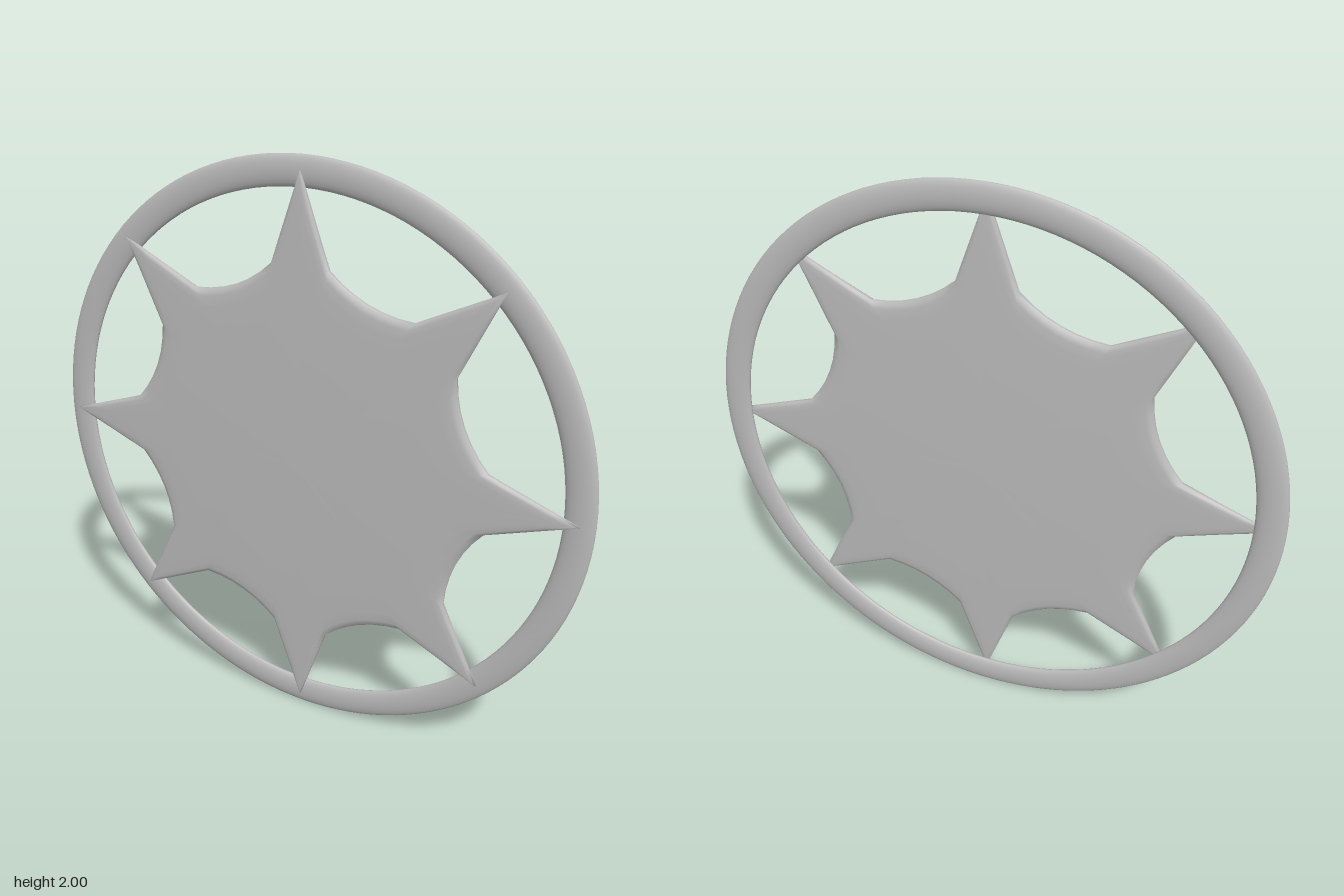
import * as THREE from 'three';

const ARMS = 8, TIP = 0.955, NOTCH = 0.67, VALLEY = 0.622;
const NOTCH_ANGLE = THREE.MathUtils.degToRad(8.9);
const ARC_STEPS = 6, ARM_STEPS = 4;

// Counter-clockwise star outline: straight pointed arms joined by concave arcs
function starOutline() {
  const pts = [];
  const polar = (r, a) => new THREE.Vector2(r * Math.cos(a), r * Math.sin(a));
  const step = (Math.PI * 2) / ARMS;
  for (let k = 0; k < ARMS; k++) {
    const a = k * step;
    const before = polar(NOTCH, a - NOTCH_ANGLE), tip = polar(TIP, a), after = polar(NOTCH, a + NOTCH_ANGLE);
    for (let i = 0; i < ARM_STEPS; i++) pts.push(before.clone().lerp(tip, i / ARM_STEPS));
    for (let i = 0; i < ARM_STEPS; i++) pts.push(tip.clone().lerp(after, i / ARM_STEPS));
    const next = polar(NOTCH, a + step - NOTCH_ANGLE);
    const mid = polar(VALLEY, a + step / 2);
    const control = mid.multiplyScalar(2).sub(after.clone().add(next).multiplyScalar(0.5));
    const arc = new THREE.QuadraticBezierCurve(after, control, next);
    for (let i = 0; i < ARC_STEPS; i++) pts.push(arc.getPoint(i / ARC_STEPS));
  }
  return pts;
}

// Domed face of the star, built from scaled copies of the outline; side is +1 front, -1 back
function starFace(outline, side) {
  const scales = [0.25, 0.5, 0.75, 0.9, 0.96, 0.985, 1];
  const n = outline.length, pos = [0, 0, side * 0.026], index = [];
  scales.forEach((t) => {
    for (const p of outline) {
      const r = p.length() * t;
      const dome = 0.008 + 0.018 * (1 - r * r);
      const edge = t === 1 ? 0.004 : t === 0.985 ? dome * 0.72 : t === 0.96 ? dome * 0.92 : dome;
      pos.push(p.x * t, p.y * t, side * edge);
    }
  });
  const tri = (a, b, c) => (side > 0 ? index.push(a, b, c) : index.push(a, c, b));
  for (let i = 0; i < n; i++) {
    const j = (i + 1) % n;
    tri(0, 1 + i, 1 + j);
    for (let s = 0; s < scales.length - 1; s++) {
      const a = 1 + s * n, b = a + n;
      tri(a + i, b + i, b + j);
      tri(a + i, b + j, a + j);
    }
  }
  return finish(pos, index);
}

// Thin wall closing the two faces around the outline
function starRim(outline) {
  const n = outline.length, pos = [], index = [];
  for (const p of outline) pos.push(p.x, p.y, -0.004, p.x, p.y, 0.004);
  for (let i = 0; i < n; i++) {
    const a = 2 * i, b = 2 * ((i + 1) % n);
    index.push(a, b, b + 1, a, b + 1, a + 1);
  }
  return finish(pos, index);
}

function finish(pos, index) {
  const g = new THREE.BufferGeometry();
  g.setAttribute('position', new THREE.Float32BufferAttribute(pos, 3));
  g.setIndex(index);
  g.computeVertexNormals();
  return g;
}

export function createModel() {
  const model = new THREE.Group();
  model.name = 'starInRing';
  const metal = new THREE.MeshStandardMaterial({ color: 0xbcbcbc });
  metal.name = 'light grey';

  const add = (parent, geometry, name) => {
    const mesh = new THREE.Mesh(geometry, metal);
    mesh.name = name;
    parent.add(mesh);
    return mesh;
  };

  // Flattened outer ring, set just behind the star
  const ringGeometry = new THREE.TorusGeometry(0.95, 0.05, 24, 128);
  ringGeometry.scale(1, 1, 0.33);
  add(model, ringGeometry, 'ring').position.set(0, 1, -0.0165);

  // Eight-pointed star, domed on both sides
  const star = new THREE.Group();
  star.name = 'star';
  star.position.set(0, 1, 0.006);
  const outline = starOutline();
  add(star, starFace(outline, 1), 'starFront');
  add(star, starFace(outline, -1), 'starBack');
  add(star, starRim(outline), 'starRim');
  model.add(star);

  return model;
}
